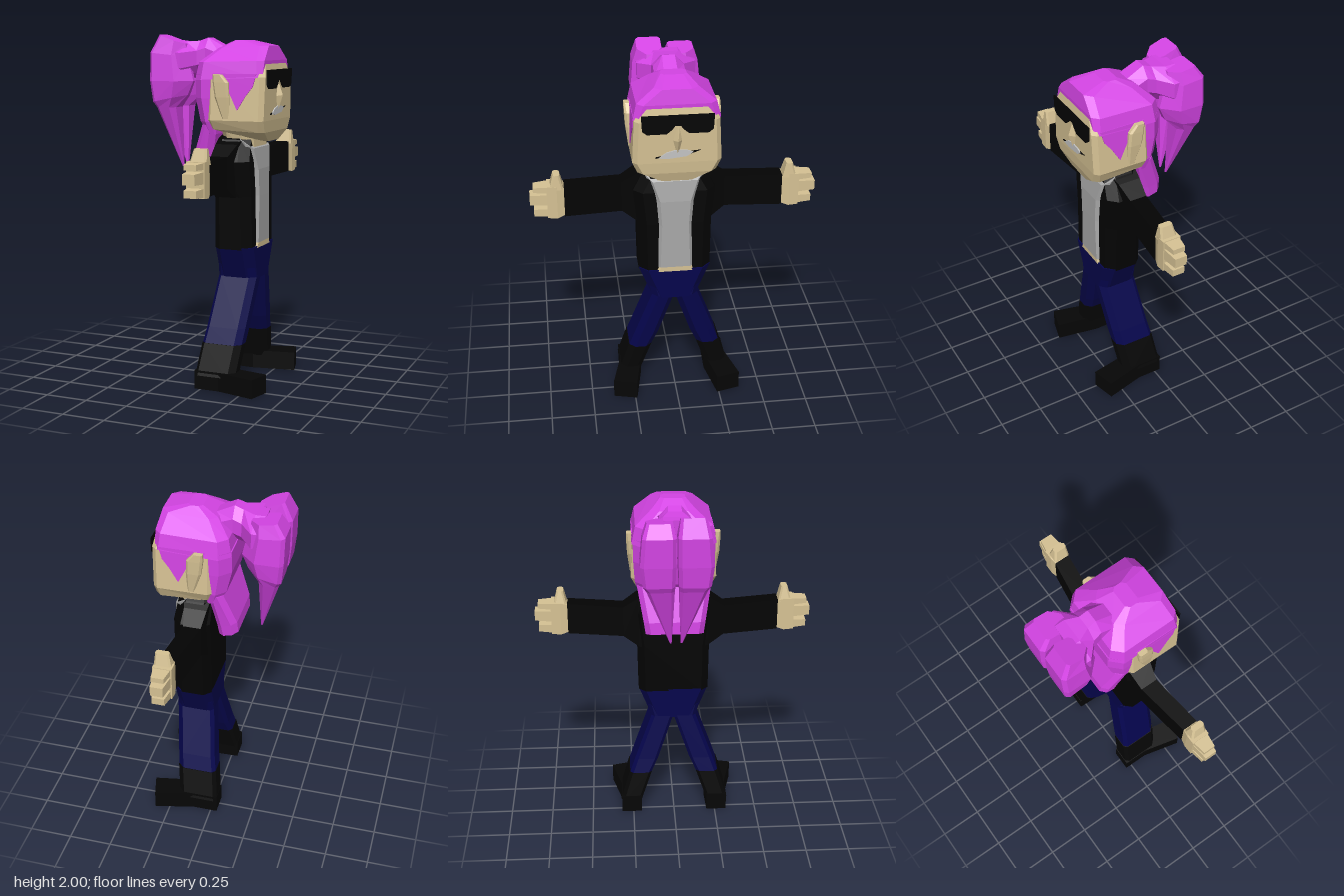
import * as THREE from 'three';

const mat = (name, color) => {
  const m = new THREE.MeshStandardMaterial({ color, flatShading: true });
  m.name = name;
  return m;
};

// Eight-sided horizontal section; y may be [back, front], c is [back, front] corner cut
function ring(y, x0, x1, z0, z1, c = [0.04, 0.05]) {
  const [yb, yf] = Array.isArray(y) ? y : [y, y];
  const [b, f] = c;
  return [
    [x0, z0 + b], [x0 + b, z0], [x1 - f, z0], [x1, z0 + f],
    [x1, z1 - f], [x1 - f, z1], [x0 + b, z1], [x0, z1 - b],
  ].map(([x, z]) => [x, yb + (yf - yb) * (x - x0) / (x1 - x0), z]);
}

// Rectangular section across the z axis
const slice = (z, x0, x1, y0, y1) => [[x0, y0, z], [x1, y0, z], [x1, y1, z], [x0, y1, z]];

// Closed skin through equal-length sections, turned outward by its signed volume
function loft(rings) {
  const n = rings[0].length, tris = [];
  const mid = r => r.reduce((a, p) => a.map((v, i) => v + p[i] / n), [0, 0, 0]);
  const first = rings[0], last = rings[rings.length - 1];
  const c0 = mid(first), c1 = mid(last);
  for (let j = 0; j < n; j++) {
    const k = (j + 1) % n;
    for (let i = 0; i + 1 < rings.length; i++) {
      const a = rings[i], b = rings[i + 1];
      tris.push([a[j], a[k], b[k]], [a[j], b[k], b[j]]);
    }
    tris.push([c0, first[k], first[j]], [c1, last[j], last[k]]);
  }
  const V = p => new THREE.Vector3(...p);
  const vol = tris.reduce((s, t) => s + V(t[0]).dot(V(t[1]).cross(V(t[2]))), 0);
  const flat = tris.flatMap(t => (vol < 0 ? [t[0], t[2], t[1]] : t)).flat();
  const g = new THREE.BufferGeometry();
  g.setAttribute('position', new THREE.Float32BufferAttribute(flat, 3));
  g.computeVertexNormals();
  return g;
}

export function createModel() {
  const root = new THREE.Group();
  root.name = 'figure';
  const skin = mat('skin', 0xd6c294), hair = mat('hair', 0xd444e4);
  const jacket = mat('jacket black', 0x030303), trousers = mat('navy', 0x05054c);
  const shirt = mat('shirt grey', 0xa8a8a8), boots = mat('boot black', 0x060606);
  const lens = mat('lens black', 0x030303), teeth = mat('teeth', 0xc4c4c4);
  const add = (name, geo, m) => {
    const mesh = new THREE.Mesh(geo, m);
    mesh.name = name;
    root.add(mesh);
    return mesh;
  };
  const sym = (y, x0, x1, z, c) => ring(y, x0, x1, -z, z, c);
  // Mirrors sections to either side
  const side = (s, rings) => rings.map(r => r.map(([x, y, z]) => [x, y, z * s]));

  // Torso and pelvis
  add('jacketBody', loft([
    sym(0.8, 0.03, 0.25, 0.205), sym(1.1, 0.03, 0.245, 0.21),
    sym(1.3, 0.03, 0.24, 0.23), sym(1.42, 0.03, 0.225, 0.165),
    sym(1.44, 0.04, 0.2, 0.13),
  ]), jacket);
  add('shirtFront', loft([
    sym(0.83, 0.19, 0.262, 0.115, [0.01, 0.03]), sym(1.1, 0.19, 0.262, 0.105, [0.01, 0.03]),
    sym(1.25, 0.19, 0.26, 0.115, [0.01, 0.03]), sym([1.43, 1.37], 0.17, 0.245, 0.165, [0.01, 0.04]),
  ]), shirt);
  add('waistSkin', loft([
    sym(0.8, 0.19, 0.26, 0.125, [0.01, 0.03]), sym(0.832, 0.19, 0.26, 0.112, [0.01, 0.03]),
  ]), skin);
  add('neck', loft([sym([1.4, 1.35], 0.06, 0.238, 0.14), sym(1.47, 0.05, 0.235, 0.165)]), skin);
  add('pelvis', loft([sym(0.62, 0.03, 0.255, 0.13), sym(0.81, 0.03, 0.258, 0.205)]), trousers);

  // Head
  add('head', loft([
    sym([1.46, 1.41], 0.03, 0.315, 0.11, [0.03, 0.03]),
    sym([1.48, 1.465], 0, 0.332, 0.215, [0.04, 0.03]),
    sym(1.53, -0.02, 0.338, 0.242, [0.05, 0.025]),
    sym(1.77, -0.02, 0.342, 0.23, [0.05, 0.025]),
    sym(1.845, 0.02, 0.327, 0.19, [0.04, 0.03]),
  ]), skin);
  add('nose', loft([
    [[0.335, 1.745, -0.012], [0.343, 1.745, 0], [0.335, 1.745, 0.012]],
    [[0.335, 1.66, -0.028], [0.37, 1.665, 0], [0.335, 1.66, 0.028]],
    [[0.335, 1.58, -0.008], [0.342, 1.575, 0], [0.335, 1.58, 0.008]],
  ]), skin);

  // Thin face plates, drawn in (z, y) and facing forward
  const plate = (name, pts, x, depth, m) => {
    const g = new THREE.ExtrudeGeometry(new THREE.Shape(pts.map(p => new THREE.Vector2(-p[0], p[1]))),
      { depth, bevelEnabled: false });
    g.rotateY(Math.PI / 2);
    add(name, g, m).position.x = x;
  };
  plate('teeth', [[-0.085, 1.592], [-0.05, 1.568], [0.05, 1.557], [0.105, 1.562], [0.06, 1.592], [0.01, 1.606], [-0.05, 1.604]], 0.338, 0.008, teeth);
  plate('mouthLine', [[-0.125, 1.6], [-0.07, 1.58], [0.12, 1.56], [0.12, 1.567], [-0.07, 1.596]], 0.338, 0.005, lens);
  plate('sunglasses', [
    [-0.195, 1.81], [-0.19, 1.725], [-0.165, 1.705], [-0.06, 1.705], [-0.03, 1.73], [-0.015, 1.75],
    [0.015, 1.75], [0.03, 1.73], [0.06, 1.705], [0.165, 1.705], [0.19, 1.725], [0.195, 1.81],
  ], 0.345, 0.009, lens);

  // Hair cap, back hair and hanging lock
  add('hairCap', loft([
    sym([1.75, 1.77], -0.09, 0.327, 0.236, [0.06, 0.025]),
    sym([1.85, 1.86], -0.07, 0.328, 0.215, [0.05, 0.035]),
    sym([1.925, 1.94], 0.01, 0.315, 0.12, [0.04, 0.04]),
    sym(1.97, 0.1, 0.18, 0.07, [0.02, 0.02]),
  ]), hair);
  add('backHair', loft([
    sym(1.45, -0.01, 0.045, 0.2, [0.02, 0.01]), sym(1.52, -0.06, 0.045, 0.22, [0.05, 0.01]),
    sym(1.65, -0.09, 0.045, 0.228, [0.06, 0.01]), sym(1.78, -0.09, 0.045, 0.228, [0.06, 0.01]),
  ]), hair);
  add('hangingLock', loft([
    sym([1.24, 1.21], -0.12, -0.01, 0.165, [0.03, 0.03]),
    sym([1.31, 1.28], -0.115, 0, 0.175, [0.03, 0.03]),
    sym(1.5, -0.045, 0.045, 0.21, [0.03, 0.03]),
  ]), hair);

  // Gathered hair widening from the head into the two tails
  const hoop = (x, y, ry, rz) => Array.from({ length: 8 }, (_, i) => {
    const a = (i + 0.5) * Math.PI / 4;
    return [x, y + ry * Math.sin(a), rz * Math.cos(a)];
  });
  add('hairGather', loft([
    hoop(0.03, 1.86, 0.08, 0.1), hoop(-0.07, 1.885, 0.108, 0.092),
    hoop(-0.12, 1.87, 0.105, 0.1), hoop(-0.19, 1.855, 0.115, 0.18), hoop(-0.25, 1.86, 0.11, 0.18),
  ]), hair);

  for (const s of [1, -1]) {
    const label = s > 0 ? 'Plus' : 'Minus';
    const part = (name, rings, m) => add(name + label, loft(side(s, rings)), m);

    // Tails converge toward the middle; one stands a little higher
    part('hairTail', [
      ring([s > 0 ? 2 : 1.97, 1.95], -0.325, -0.18, 0.02, 0.16, [0.015, 0.05]),
      ring([1.9, 1.88], -0.374, -0.165, 0.004, 0.185, [0.02, 0.07]),
      ring(1.74, -0.372, -0.13, 0.006, 0.198, [0.02, 0.085]),
      ring([1.62, 1.66], -0.36, -0.165, 0.01, 0.185, [0.02, 0.07]),
      ring(1.59, -0.345, -0.23, 0.012, 0.165, [0.02, 0.03]),
      ring(1.24, -0.236, -0.226, 0.025, 0.035, [0.002, 0.002]),
    ], hair);

    // Hair running down in front of the ear, lying on the sloping cheek
    const burn = new THREE.ExtrudeGeometry(new THREE.Shape([
      [0.04, 1.79], [0.06, 1.75], [0.13, 1.75], [0.14, 1.69], [0.19, 1.59], [0.24, 1.67], [0.28, 1.72], [0.3, 1.79],
    ].map(p => new THREE.Vector2(...p))), { depth: 0.009, bevelEnabled: false });
    const burnMesh = add('sideburn' + label, burn, hair);
    burnMesh.rotation.x = -0.05 * s;
    burnMesh.position.z = s * 0.319 - 0.0045;

    part('ear', [
      ring(1.54, 0.1, 0.14, 0.21, 0.245, [0.008, 0.008]),
      ring(1.66, 0.06, 0.145, 0.21, 0.26, [0.012, 0.012]),
      ring(1.74, 0.05, 0.14, 0.21, 0.264, [0.012, 0.012]),
      ring(1.785, 0.05, 0.1, 0.21, 0.264, [0.008, 0.008]),
    ], skin);

    // Sleeve and hand
    part('sleeve', [
      slice(0.15, 0.04, 0.19, 1.08, 1.42), slice(0.2, 0.045, 0.175, 1.09, 1.395),
      slice(0.29, 0.055, 0.155, 1.155, 1.335), slice(0.61, 0.1, 0.19, 1.16, 1.345),
    ], jacket);
    part('palm', [
      slice(0.6, 0.105, 0.185, 1.17, 1.335), slice(0.65, 0.095, 0.2, 1.155, 1.35),
      slice(0.705, 0.095, 0.2, 1.16, 1.35),
    ], skin);
    part('thumb', [
      ring(1.33, 0.1, 0.2, 0.612, 0.69, [0.01, 0.01]),
      ring(1.415, 0.12, 0.195, 0.632, 0.668, [0.01, 0.01]),
    ], skin);
    for (const [y0, y1, z] of [[1.31, 1.347, 0.78], [1.235, 1.3, 0.8], [1.165, 1.213, 0.78]])
      part('finger', [slice(0.69, 0.1, 0.195, y0, y1), slice(z, 0.115, 0.185, y0 + 0.004, y1 - 0.004)], skin);

    // Leg, boot shaft and turned-out foot
    const c = [0.02, 0.035];
    part('trouserLeg', [
      ring(0.25, -0.015, 0.217, 0.14, 0.27, c), ring(0.35, 0, 0.228, 0.095, 0.235, c),
      ring(0.63, 0.03, 0.255, 0, 0.132, c), ring(0.7, 0.035, 0.25, 0.005, 0.15, c),
    ], trousers);
    part('bootShaft', [
      ring(0.08, -0.037, 0.2, 0.197, 0.325, c), ring(0.26, -0.016, 0.22, 0.135, 0.27, c),
    ], boots);
    const sole = y => [[-0.037, y, 0.2], [0.12, y, 0.195], [0.37, y, 0.24], [0.335, y, 0.375], [0.11, y, 0.32], [-0.037, y, 0.32]];
    part('foot', [sole(0), sole(0.108)], boots);
  }
  return root;
}
